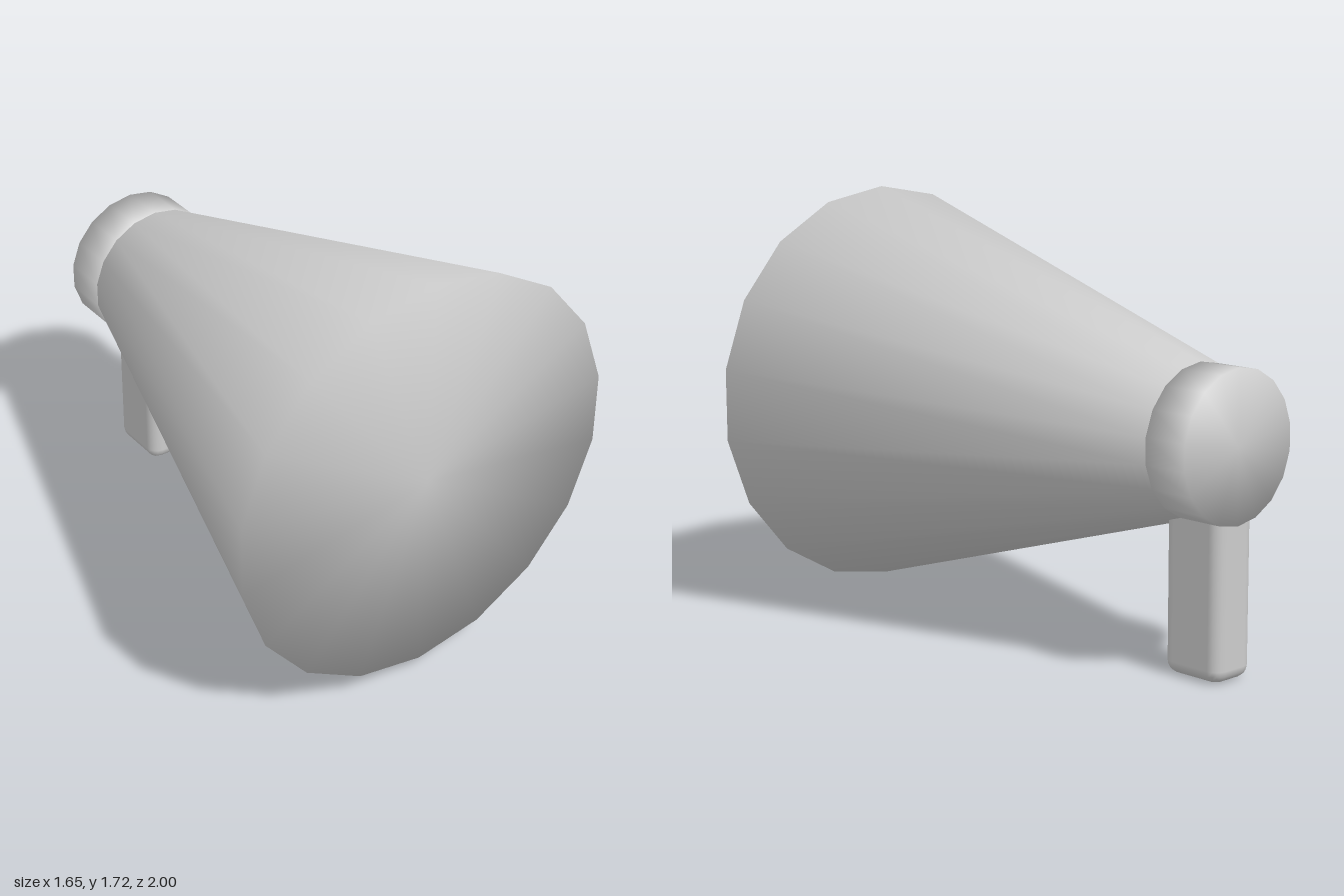
import * as THREE from 'three';
import { mergeVertices } from 'three/addons/utils/BufferGeometryUtils.js';
import { RoundedBoxGeometry } from 'three/addons/geometries/RoundedBoxGeometry.js';

const SIDES = 18;
const AXIS_Y = 0.886;

// Closed tapered drum along z, with normals smoothed across its rims
function smoothDrum(frontRadius, backRadius, frontZ, backZ) {
  let g = new THREE.CylinderGeometry(frontRadius, backRadius, frontZ - backZ, SIDES);
  g.deleteAttribute('normal');
  g.deleteAttribute('uv');
  g = mergeVertices(g, 1e-4);
  g.computeVertexNormals();
  g.rotateX(Math.PI / 2);
  g.translate(0, AXIS_Y, (frontZ + backZ) / 2);
  return g;
}

export function createModel() {
  const group = new THREE.Group();
  group.name = 'megaphone';
  const grey = new THREE.MeshStandardMaterial({ color: 0xcccccc });
  grey.name = 'light grey';

  const add = (name, geometry) => {
    const mesh = new THREE.Mesh(geometry, grey);
    mesh.name = name;
    group.add(mesh);
  };

  // Flared horn and the short drum behind it
  add('horn', smoothDrum(0.836, 0.295, 1, -0.81));
  add('rearDrum', smoothDrum(0.295, 0.295, -0.81, -1));

  // Rounded grip, its top buried in the drum
  const grip = new RoundedBoxGeometry(0.2, 0.72, 0.274, 2, 0.05);
  grip.translate(0, 0.36, -0.862);
  add('handle', grip);

  return group;
}
